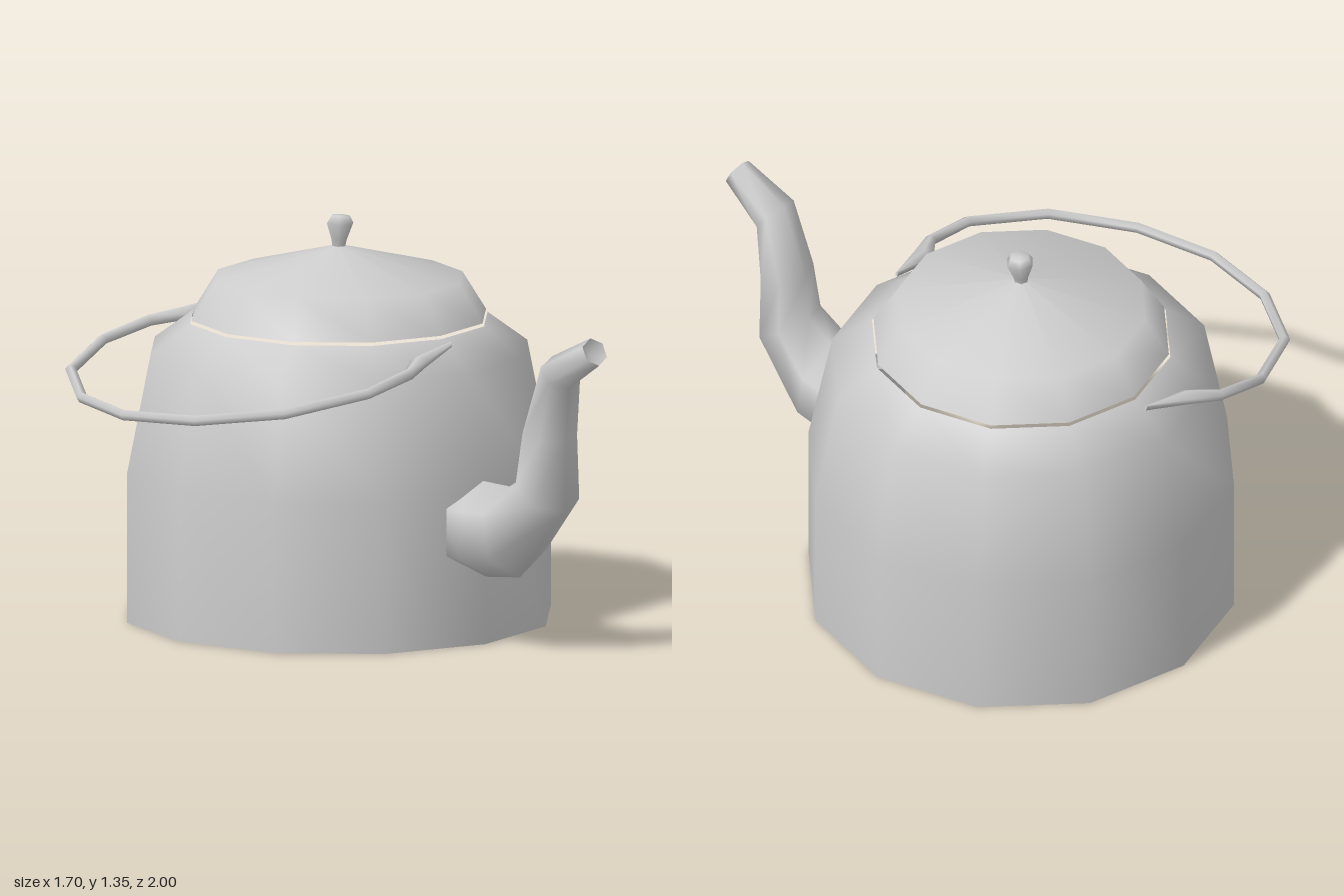
import * as THREE from 'three';

const V = (x, y, z) => new THREE.Vector3(x, y, z);
const grey = new THREE.MeshStandardMaterial({ color: 0xcccccc });

function part(name, geometry, parent) {
  const mesh = new THREE.Mesh(geometry, grey);
  mesh.name = name;
  parent.add(mesh);
  return mesh;
}

function lathe(profile, sides) {
  return new THREE.LatheGeometry(profile.map(([r, y]) => new THREE.Vector2(r, y)), sides);
}

// Skin over sections { c: centre, u: up half-axis, s: side half-axis }; dent pushes the end cap inwards
function loft(sections, sides, dent = 0) {
  const pos = [], index = [];
  const addRing = ({ c, u, s }) => {
    for (let k = 0; k < sides; k++) {
      const a = (k / sides) * Math.PI * 2;
      const p = c.clone().addScaledVector(u, Math.cos(a)).addScaledVector(s, Math.sin(a));
      pos.push(p.x, p.y, p.z);
    }
  };
  sections.forEach(addRing);
  for (let i = 0; i < sections.length - 1; i++) {
    for (let k = 0; k < sides; k++) {
      const a = i * sides + k, b = i * sides + (k + 1) % sides;
      index.push(a, a + sides, b, b, a + sides, b + sides);
    }
  }
  // End caps with their own vertices so the rim stays sharp
  [sections[0], sections.at(-1)].forEach((sec, end) => {
    const base = pos.length / 3;
    addRing(sec);
    const c = sec.c.clone();
    if (end) c.addScaledVector(sec.s.clone().cross(sec.u).normalize(), dent);
    pos.push(c.x, c.y, c.z);
    for (let k = 0; k < sides; k++) {
      const a = base + k, b = base + (k + 1) % sides;
      index.push(base + sides, end ? b : a, end ? a : b);
    }
  });
  const g = new THREE.BufferGeometry();
  g.setAttribute('position', new THREE.Float32BufferAttribute(pos, 3));
  g.setIndex(index);
  g.computeVertexNormals();
  return g;
}

export function createModel() {
  const kettle = new THREE.Group();
  kettle.name = 'kettle';

  // Pot, lid and knob share one vertical axis
  const pot = new THREE.Group();
  pot.name = 'pot';
  pot.position.set(0.13, 0, -0.28);
  kettle.add(pot);

  part('body', lathe([[0.72, 0], [0.72, 0.5], [0.64, 0.9], [0.505, 1]], 12), pot);
  part('base', new THREE.CircleGeometry(0.72, 12).rotateX(Math.PI / 2), pot);
  part('lid', lathe([[0.5, 1.01], [0.42, 1.14], [0, 1.25]], 12), pot);
  part('lidUnderside', lathe([[0, 1], [0.4, 1], [0.5, 1.01]], 12), pot);

  const knob = part('knob', lathe([[0.022, -0.01], [0.028, 0.02], [0.048, 0.075], [0.033, 0.1], [0, 0.103]], 6), pot);
  knob.position.y = 1.245;
  knob.rotation.set(0.03, 0.2, -0.06);

  // Spout: lower z, y, upper z, y, half width
  const spout = [
    [0.36, 0.23, 0.36, 0.55, 0.14],
    [0.46, 0.23, 0.47, 0.55, 0.14],
    [0.61, 0.25, 0.56, 0.55, 0.13],
    [0.83, 0.5, 0.66, 0.61, 0.105],
    [0.84, 0.74, 0.675, 0.77, 0.085],
    [0.85, 0.92, 0.77, 1.02, 0.07],
    [1.0, 1.02, 0.957, 1.107, 0.045],
  ].map(([lz, ly, uz, uy, w]) => ({
    c: V(0.13, (ly + uy) / 2, (lz + uz) / 2),
    u: V(0, (uy - ly) / 2, (uz - lz) / 2),
    s: V(w / 0.866, 0, 0),
  }));
  part('spout', loft(spout, 6, -0.025), kettle);

  // Bail handle, half listed and mirrored front to back: x, distance from pot axis, side and up radius
  const half = [
    [0.13, 0.552, 0.005, 0.01],
    [-0.04, 0.582, 0.036, 0.022],
    [-0.14, 0.64, 0.019, 0.02],
    [-0.337, 0.65, 0.019, 0.018],
    [-0.595, 0.525, 0.019, 0.018],
    [-0.77, 0.28, 0.019, 0.018],
  ];
  const path = [
    ...half.map(([x, d, w, h]) => [x, -0.28 - d, w, h]),
    [-0.832, -0.28, 0.019, 0.018],
    ...half.toReversed().map(([x, d, w, h]) => [x, -0.28 + d, w, h]),
  ];
  const centres = path.map(([x, z]) => V(x, 0.963 + 0.2 * x, z));
  const up = V(-0.2, 1, 0).normalize();
  const bail = path.map(([, , w, h], i) => {
    const t = centres[Math.min(i + 1, path.length - 1)].clone().sub(centres[Math.max(i - 1, 0)]);
    return {
      c: centres[i],
      u: up.clone().multiplyScalar(h),
      s: up.clone().cross(t).normalize().multiplyScalar(w),
    };
  });
  part('handle', loft(bail, 5), kettle);

  return kettle;
}
